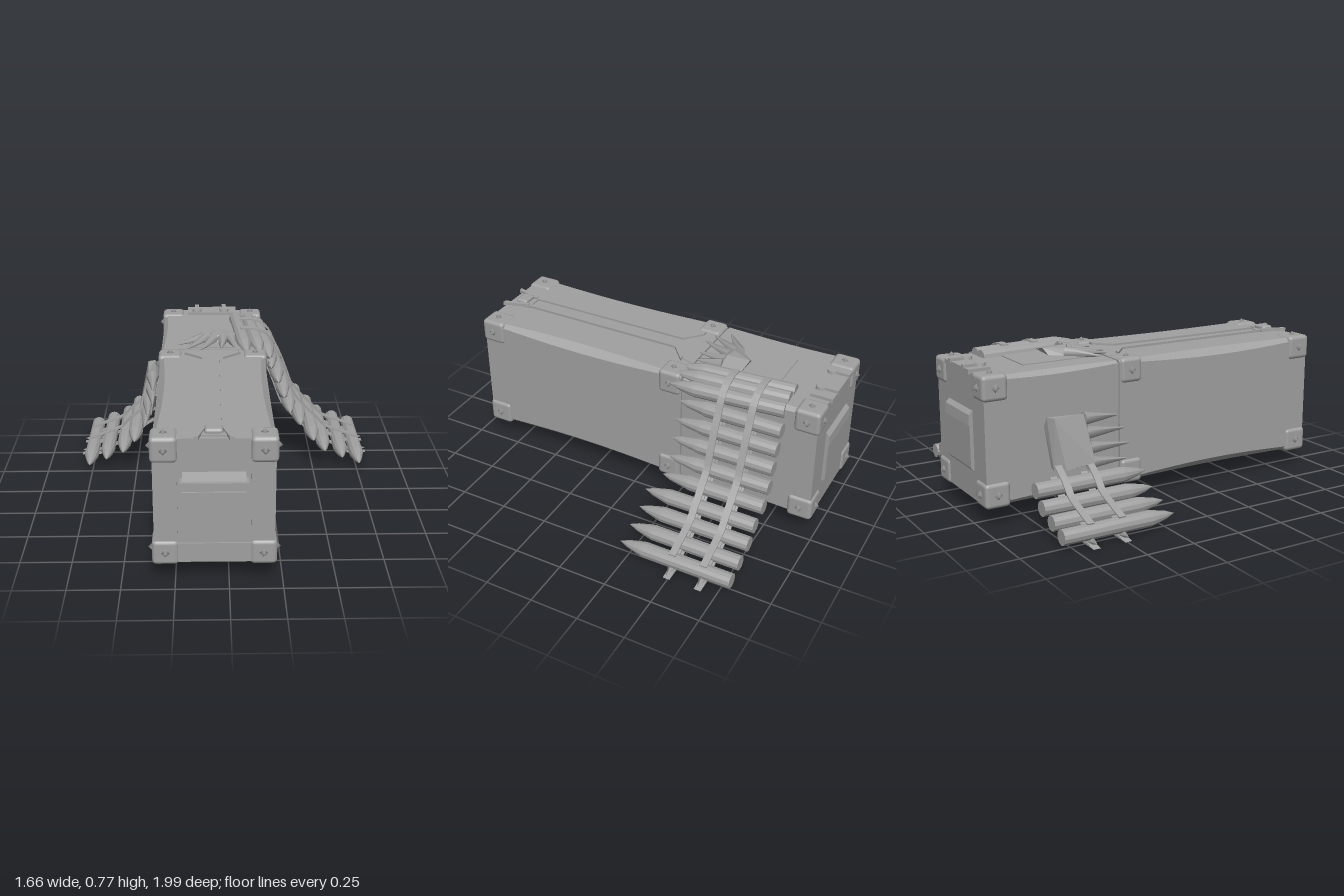
import * as THREE from 'three';
import { RoundedBoxGeometry } from 'three/addons/geometries/RoundedBoxGeometry.js';
import { ConvexGeometry } from 'three/addons/geometries/ConvexGeometry.js';
import { toCreasedNormals } from 'three/addons/utils/BufferGeometryUtils.js';

const CX = -0.067, CY = 0.41; // centre of the case
const V = (x, y, z) => new THREE.Vector3(x, y, z);

export function createModel() {
  const root = new THREE.Group();
  root.name = 'ammunitionCase';
  const grey = new THREE.MeshStandardMaterial({ color: 0xa0a0a0, side: THREE.DoubleSide });
  grey.name = 'plain grey';

  const add = (name, geo, x = 0, y = 0, z = 0, parent = root) => {
    const m = new THREE.Mesh(geo, grey);
    m.name = name;
    m.position.set(x, y, z);
    parent.add(m);
    return m;
  };
  // box given by its limits
  const block = (name, x0, x1, y0, y1, z0, z1) =>
    add(name, new THREE.BoxGeometry(x1 - x0, y1 - y0, z1 - z0), (x0 + x1) / 2, (y0 + y1) / 2, (z0 + z1) / 2);
  // flat outline in x and z lying on the lid
  const lidPlate = (name, pts, y, h) => {
    const g = new THREE.ExtrudeGeometry(new THREE.Shape(pts.map(([x, z]) => new THREE.Vector2(x, -z))), { depth: h, bevelEnabled: false });
    g.rotateX(-Math.PI / 2);
    return add(name, g, 0, y, 0);
  };

  // case sections whose edges are worn away towards the middle
  const section = (name, z0, z1, wear) => {
    const pos = [], idx = [], n = 14, hx = 0.278, hy = 0.312;
    for (let i = 0; i <= n; i++) {
      const t = i / n, b = 0.012 + wear * Math.sin(Math.PI * t);
      const ring = [[hx, hy - b], [hx - b, hy], [b - hx, hy], [-hx, hy - b], [-hx, b - hy], [b - hx, -hy], [hx - b, -hy], [hx, b - hy]];
      for (const [x, y] of ring) pos.push(x, y, z0 + (z1 - z0) * t);
    }
    for (let i = 0; i < n; i++) for (let j = 0; j < 8; j++) {
      const a = i * 8 + j, b = i * 8 + (j + 1) % 8;
      idx.push(a, b, a + 8, b, b + 8, a + 8);
    }
    for (let j = 1; j < 7; j++) idx.push(0, j + 1, j, n * 8, n * 8 + j, n * 8 + j + 1);
    const g = new THREE.BufferGeometry();
    g.setAttribute('position', new THREE.Float32BufferAttribute(pos, 3));
    g.setIndex(idx);
    add(name, toCreasedNormals(g, 0.5), CX, CY, 0);
  };
  section('frontCase', -0.25, 0.92, 0.024);
  section('rearCase', -0.97, -0.262, 0.012);
  block('seamCore', CX - 0.265, CX + 0.265, 0.11, 0.71, -0.28, -0.23);

  // corner brackets with studs
  const stud = new THREE.SphereGeometry(0.02, 4, 2);
  for (const sx of [-1, 1]) for (const sy of [-1, 1]) {
    for (const [z, d, end] of [[0.87, 0.13, 1], [-0.185, 0.12, 0], [-0.915, 0.13, -1]]) {
      const w = 0.125, h = 0.125;
      const x = CX + sx * (0.289 - w / 2), y = CY + sy * (0.321 - h / 2);
      add('cornerBracket', new RoundedBoxGeometry(w, h, d, 2, 0.02), x, y, z);
      add('sideStud', stud, CX + sx * 0.289, y, z);
      add('lidStud', stud, x, CY + sy * 0.319, z);
      if (end) add('endStud', stud, x, y, z + end * d / 2);
    }
  }

  // front end: framed panel and pouch with a flap
  block('frontSill', -0.345, 0.21, 0.105, 0.2, 0.915, 0.928);
  block('frontPost', -0.345, -0.235, 0.19, 0.63, 0.915, 0.926);
  block('frontPost', 0.1, 0.21, 0.19, 0.63, 0.915, 0.926);
  const pouch = (name, dir, z, d, x0, x1, y0, y1) => {
    const s = new THREE.Shape([[0, y0], [d * 0.75, y0 + 0.02], [d * 0.75, y1 - 0.07], [d, y1 - 0.07], [d * 0.8, y1 - 0.02], [0, y1]]
      .map(([a, b]) => new THREE.Vector2(a, b)));
    const g = new THREE.ExtrudeGeometry(s, { depth: x1 - x0, bevelEnabled: false });
    g.rotateY(dir > 0 ? -Math.PI / 2 : Math.PI / 2);
    add(name, g, dir > 0 ? x1 : x0, 0, z);
  };
  pouch('frontPouch', 1, 0.92, 0.067, -0.21, 0.075, 0.24, 0.56);
  block('frontFlap', -0.222, 0.087, 0.485, 0.535, 0.93, 0.986);
  pouch('rearPouch', -1, -0.97, 0.024, -0.21, 0.075, 0.24, 0.54);

  // lid: long strap with raised rails, front clasp, rear hatch and latch
  lidPlate('lidStrap', [[-0.11, 0.82], [-0.025, 0.82], [-0.03, -0.1], [0.06, -0.18], [0.08, -0.25], [-0.22, -0.25], [-0.22, -0.18], [-0.12, -0.1]], 0.718, 0.006);
  for (const s of [-1, 1]) {
    const mx = -0.068;
    lidPlate('strapRail', [[mx + s * 0.035, 0.8], [mx + s * 0.05, 0.8], [mx + s * 0.055, -0.1], [mx + s * 0.15, -0.18], [mx + s * 0.12, -0.18], [mx + s * 0.035, -0.1]], 0.72, 0.014);
    lidPlate('claspWing', [[mx + s * 0.03, 0.8], [mx + s * 0.05, 0.8], [mx + s * 0.09, 0.935], [mx + s * 0.07, 0.935]], 0.72, 0.018);
  }
  block('claspBase', -0.125, -0.01, 0.715, 0.73, 0.79, 0.9);
  add('claspButton', new RoundedBoxGeometry(0.085, 0.03, 0.065, 2, 0.014), -0.068, 0.735, 0.85);
  block('rearHatch', -0.2, 0.06, 0.715, 0.727, -0.7, -0.28);
  block('rearLatch', -0.21, 0.075, 0.715, 0.738, -0.985, -0.87);
  for (const x of [-0.155, 0.005]) {
    add('latchKnob', new THREE.CylinderGeometry(0.026, 0.03, 0.026, 10), x, 0.74, -0.9);
    block('latchTab', x - 0.012, x + 0.012, 0.73, 0.752, -0.99, -0.92);
  }

  // cartridges, each turned about z and pointing forward
  const shell = (back, shoulder, tip) => {
    const pts = [[0, back], [0.038, back], [0.04, shoulder], [0.034, shoulder + 0.03], [0.02, tip - 0.05], [0, tip]];
    const g = new THREE.LatheGeometry(pts.map(([r, z]) => new THREE.Vector2(r, z)), 12);
    return toCreasedNormals(g.rotateX(Math.PI / 2), 0.5);
  };
  const longShell = shell(-0.8, -0.34, -0.2), shortShell = shell(-0.81, -0.42, -0.26);
  const leftRun = [[0.09, 0.722], [0.16, 0.722], [0.215, 0.69], [0.255, 0.61], [0.295, 0.525], [0.33, 0.435], [0.365, 0.345],
    [0.425, 0.27], [0.495, 0.2], [0.56, 0.135], [0.66, 0.095], [0.755, 0.06]];
  const rightRun = [[-0.435, 0.25], [-0.505, 0.2], [-0.57, 0.135], [-0.665, 0.095], [-0.76, 0.06]];
  leftRun.forEach(([x, y], i) => {
    const m = add('cartridge', i > 2 && i < 8 ? shortShell : longShell, x, y, 0);
    if (i < 3) { // the top ones lie slightly askew
      m.rotation.y = 0.08;
      m.position.x += 0.045;
    }
  });
  rightRun.slice(1).forEach(([x, y]) => add('cartridge', longShell, x, y, 0));

  // belt: two thin bands above and below each run, closing to a spike
  const band = (run, end) => {
    const pts = run.map(([x, y]) => new THREE.Vector2(x, y));
    const curve = new THREE.SplineCurve(pts), n = pts.length * 3;
    const side = (o) => Array.from({ length: n + 1 }, (_, i) => {
      const t = curve.getTangent(i / n);
      const p = curve.getPoint(i / n);
      return new THREE.Vector2(p.x - t.y * o, Math.max(0.002, p.y + t.x * o));
    });
    const strip = (o) => {
      const s = new THREE.Shape([...side(o), ...side(o + Math.sign(o) * 0.007).reverse()]);
      return new THREE.ExtrudeGeometry(s, { depth: 0.036, bevelEnabled: false });
    };
    const s = Math.sign(end);
    const spike = new THREE.ExtrudeGeometry(new THREE.Shape([[0.765, 0.012], [0.83, 0], [0.72, 0]]
      .map(([x, y]) => new THREE.Vector2(s * x, y))), { depth: 0.036, bevelEnabled: false });
    const hook = new THREE.ConeGeometry(0.022, 0.06, 4).rotateZ(-s * Math.PI / 2);
    for (const z of [-0.51, -0.675]) {
      add('beltBand', strip(0.04), 0, 0, z);
      add('beltBand', strip(-0.04), 0, 0, z);
      add('beltSpike', spike, 0, 0, z);
      add('beltHook', hook, s * 0.8, 0.022, z + 0.018);
      // small link tabs between cartridges
      for (let i = 3; i < run.length - 1; i++) {
        const mid = pts[i].clone().lerp(pts[i + 1], 0.5), d = pts[i + 1].clone().sub(pts[i]);
        add('beltLink', new THREE.BoxGeometry(d.length(), 0.008, 0.036), mid.x, mid.y, z + 0.018).rotation.z = Math.atan2(d.y, d.x);
      }
    }
  };
  band(leftRun, 1);
  band(rightRun, -1);

  // clawed feed grips: a faceted palm with tapering fingers
  const finger = (a, b, r) => {
    const m = add('gripFinger', new THREE.CylinderGeometry(0.004, r, a.distanceTo(b), 6));
    m.position.copy(a).lerp(b, 0.5);
    m.quaternion.setFromUnitVectors(V(0, 1, 0), b.clone().sub(a).normalize());
  };
  add('lidGrip', new ConvexGeometry([V(-0.08, 0.725, -0.5), V(-0.03, 0.757, -0.51), V(0.06, 0.735, -0.5), V(0.06, 0.73, -0.38),
    V(-0.02, 0.76, -0.39), V(-0.14, 0.725, -0.42), V(-0.09, 0.752, -0.4), V(-0.05, 0.71, -0.35)]));
  [[-0.11, -0.42, -0.25, -0.31], [-0.1, -0.41, -0.2, -0.24], [-0.06, -0.39, -0.13, -0.22], [-0.01, -0.39, -0.02, -0.24], [0.035, -0.39, 0.05, -0.26]]
    .forEach(([x, z, tx, tz]) => finger(V(x, 0.738, z), V(tx, 0.735, tz), 0.03));
  add('sideGrip', new ConvexGeometry([V(-0.44, 0.51, -0.66), V(-0.4, 0.51, -0.68), V(-0.37, 0.46, -0.68), V(-0.43, 0.25, -0.66),
    V(-0.48, 0.26, -0.62), V(-0.49, 0.28, -0.47), V(-0.43, 0.51, -0.5), V(-0.385, 0.46, -0.46), V(-0.42, 0.25, -0.46), V(-0.4, 0.26, -0.66)]));
  [[0.48, -0.41, -0.4, -0.3], [0.41, -0.42, -0.4, -0.26], [0.34, -0.44, -0.43, -0.25], [0.27, -0.45, -0.45, -0.28]]
    .forEach(([y, x, tx, tz]) => finger(V(x, y, -0.49), V(tx, y - 0.01, tz), 0.034));
  block('gripMount', -0.41, -0.34, 0.355, 0.43, -0.62, -0.5);

  return root;
}
